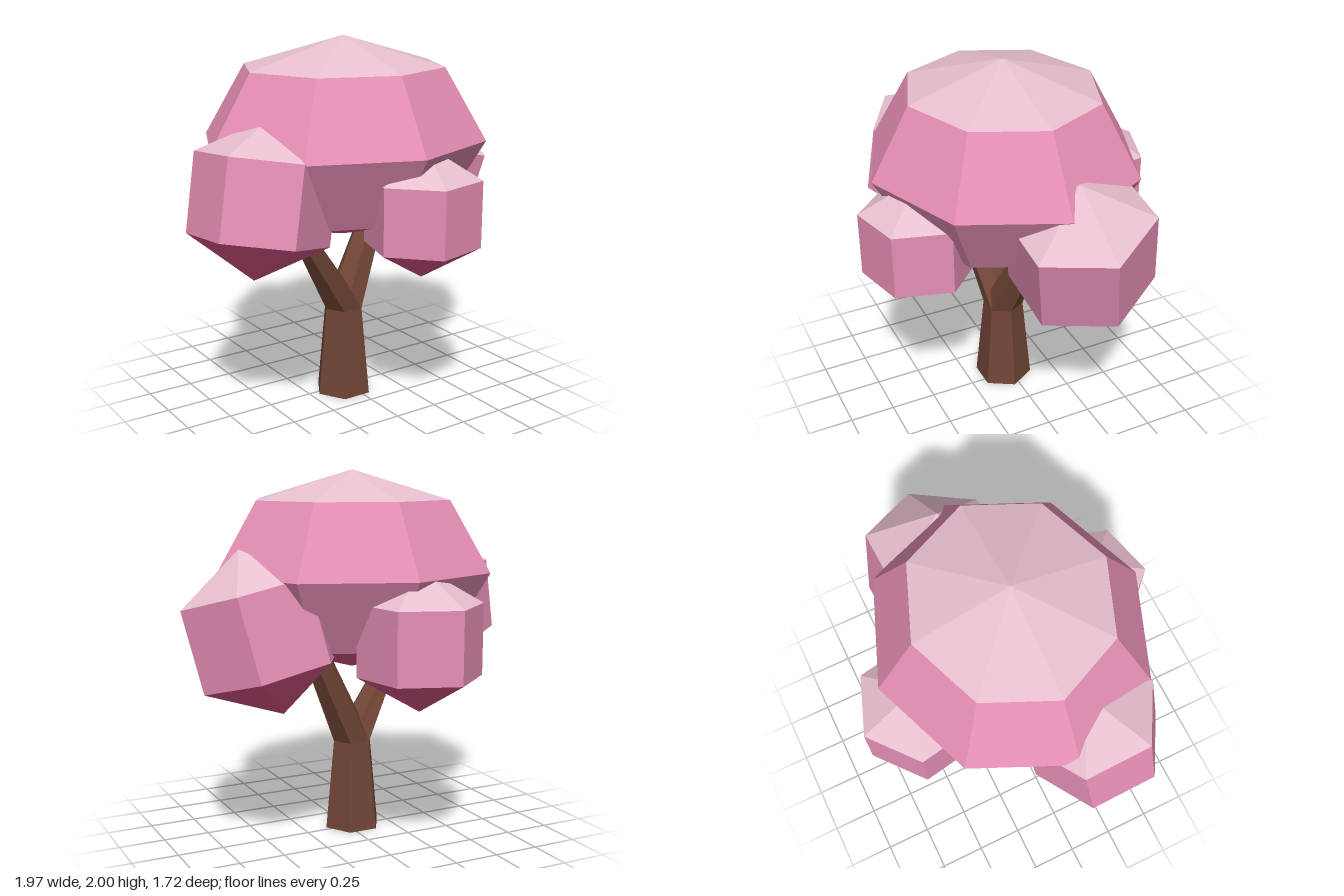
import * as THREE from 'three';

const UP = new THREE.Vector3(0, 1, 0);

function makeMaterial(name, color, side = THREE.FrontSide) {
  const m = new THREE.MeshStandardMaterial({ color, flatShading: true, side });
  m.name = name;
  return m;
}

// Low-poly ball of leaves: top row, middle rows and bottom row have their own colours
function leafBall(name, materials, { sides, rows, size, at, axis = [0, 1, 0], turn = 0 }) {
  const g = new THREE.SphereGeometry(1, sides, rows);
  const cap = sides * 3, middle = sides * 6 * (rows - 2);
  g.clearGroups();
  g.addGroup(0, cap, 0);
  g.addGroup(cap, middle, 1);
  g.addGroup(cap + middle, cap, 2);
  g.rotateY(THREE.MathUtils.degToRad(turn));
  g.scale(...size);
  const mesh = new THREE.Mesh(g, materials);
  mesh.name = name;
  mesh.position.set(...at);
  // lean the ball so that its pole follows the axis
  mesh.quaternion.setFromUnitVectors(UP, new THREE.Vector3(...axis).normalize());
  return mesh;
}

// Six-sided open tube through two rings, closed by a flat cut at the top if asked
function limb(name, material, bottom, top, cut) {
  const g = new THREE.CylinderGeometry(1, 1, 2, 6, 1, !cut);
  if (cut) g.setIndex([...g.index.array].slice(0, 54)); // sides and top only
  g.rotateY(Math.PI / 2);
  const p = g.attributes.position, v = new THREE.Vector3(), q = new THREE.Quaternion();
  for (let i = 0; i < p.count; i++) {
    const { c, r, axis } = p.getY(i) > 0 ? top : bottom;
    q.setFromUnitVectors(UP, new THREE.Vector3(...axis).normalize());
    v.set(p.getX(i) * r, 0, p.getZ(i) * r).applyQuaternion(q);
    p.setXYZ(i, v.x + c[0], v.y + c[1], v.z + c[2]);
  }
  g.clearGroups();
  g.computeVertexNormals();
  const mesh = new THREE.Mesh(g, material);
  mesh.name = name;
  return mesh;
}

export function createModel() {
  const tree = new THREE.Group();
  tree.name = 'blossomTree';

  const bark = makeMaterial('bark brown', 0x704536, THREE.DoubleSide);
  const leaves = [
    makeMaterial('pale blossom', 0xe8c0d0),
    makeMaterial('pink blossom', 0xe68fb5),
    makeMaterial('deep blossom', 0xe4598f),
  ];

  // Trunk, forking into two limbs that share its top ring
  const foot = { c: [-0.04, 0, 0.03], r: 0.162, axis: [0, 1, 0] };
  const fork = { c: [-0.04, 0.5, 0.03], r: 0.113, axis: [0, 1, 0] };
  const mainEnd = { c: [0.185, 0.96, -0.03], r: 0.075, axis: [0.22, 0.46, -0.06] };
  const sideEnd = { c: [-0.323, 0.913, 0.12], r: 0.06, axis: [-0.28, 0.42, 0.09] };
  tree.add(
    limb('trunk', bark, foot, fork, false),
    limb('mainBranch', bark, fork, mainEnd, true),
    limb('sideBranch', bark, fork, sideEnd, true),
  );

  // Main crown and the four clusters around it
  tree.add(
    leafBall('crown', leaves, {
      sides: 8, rows: 4, size: [0.79, 0.54, 0.73], at: [-0.04, 1.46, 0.03],
    }),
    leafBall('frontCluster', leaves, {
      sides: 6, rows: 3, size: [0.35, 0.35, 0.35], at: [0.085, 1.147, 0.57], turn: 14,
    }),
    leafBall('backCluster', leaves, {
      sides: 6, rows: 3, size: [0.378, 0.375, 0.378], at: [-0.14, 1.145, -0.54], turn: -20,
    }),
    leafBall('rightCluster', leaves, {
      sides: 6, rows: 3, size: [0.415, 0.41, 0.415], at: [-0.642, 1.237, 0.213],
      axis: [0.19, 0.976, -0.09], turn: 30,
    }),
    leafBall('leftCluster', leaves, {
      sides: 6, rows: 3, size: [0.44, 0.44, 0.44], at: [0.562, 1.175, -0.123],
      axis: [0.205, 0.966, 0.165],
    }),
  );
  return tree;
}
